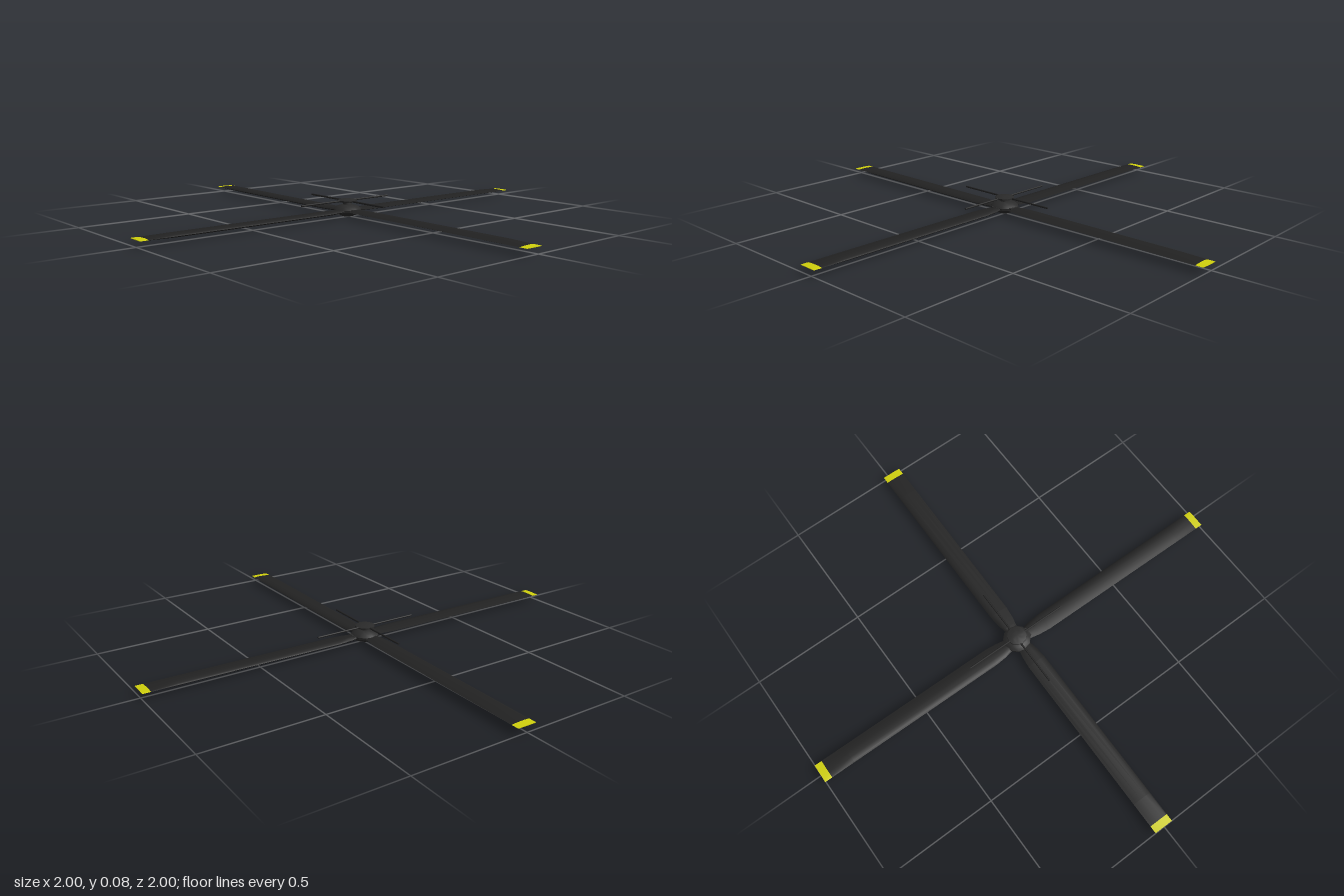
import * as THREE from 'three';
import { toCreasedNormals } from 'three/addons/utils/BufferGeometryUtils.js';

const black = new THREE.MeshStandardMaterial({ color: 0x222222 });
black.name = 'black blade';
const grey = new THREE.MeshStandardMaterial({ color: 0x2a2a2a });
grey.name = 'dark grey hub';
const yellow = new THREE.MeshStandardMaterial({ color: 0xd0d00c });
yellow.name = 'yellow tip';

// Aerofoil outline: chord position (-1 leading, 1 trailing), height (-1 to 1)
const foil = [[-1, 0], [-0.85, 0.6], [-0.4, 1], [0.2, 0.85], [0.7, 0.45],
  [1, 0.04], [0.7, -0.4], [0.2, -0.8], [-0.4, -1], [-0.85, -0.6]];

// Skin a run of stations [radius, half chord, half thickness]
function bladeGeometry(stations) {
  const n = foil.length, pos = [], idx = [];
  for (const [r, c, t] of stations)
    for (const [z, y] of foil) pos.push(r, y * t, z * c);
  for (let i = 0; i < stations.length - 1; i++)
    for (let j = 0; j < n; j++) {
      const a = i * n + j, b = i * n + (j + 1) % n;
      idx.push(a, b, a + n, b, b + n, a + n);
    }
  const e = (stations.length - 1) * n;
  for (let j = 1; j < n - 1; j++) idx.push(0, j + 1, j, e, e + j, e + j + 1);
  const g = new THREE.BufferGeometry();
  g.setAttribute('position', new THREE.Float32BufferAttribute(pos, 3));
  g.setIndex(idx);
  return toCreasedNormals(g, 0.6);
}

function addMesh(parent, name, geometry, material, x = 0, y = 0, z = 0) {
  const m = new THREE.Mesh(geometry, material);
  m.name = name;
  m.position.set(x, y, z);
  parent.add(m);
  return m;
}

function lathe(points, sides) {
  const g = new THREE.LatheGeometry(points.map(p => new THREE.Vector2(...p)), sides);
  return toCreasedNormals(g, 0.5);
}

export function createModel() {
  const model = new THREE.Group();
  model.name = 'rotor';
  const yaw = -0.0115;

  // Main blades: two straight pairs crossing at the hub
  const bladeGeo = bladeGeometry([[0.03, 0.022, 0.007], [0.05, 0.029, 0.008],
    [0.09, 0.037, 0.008], [0.14, 0.042, 0.008], [0.86, 0.042, 0.008], [0.967, 0.042, 0.003]]);
  const tipGeo = bladeGeometry([[0.967, 0.042, 0.003], [1, 0.042, 0.0012]]);
  const gripGeo = new THREE.BoxGeometry(0.05, 0.016, 0.04);
  for (let k = 0; k < 4; k++) {
    const blade = new THREE.Group();
    blade.name = 'blade' + (k + 1);
    blade.rotation.y = yaw + k * Math.PI / 2;
    if (k % 2) blade.position.set(0.004, 0.027, 0);
    else blade.position.set(0, 0.027, 0.01);
    addMesh(blade, 'bladeBody', bladeGeo, black);
    addMesh(blade, 'bladeTip', tipGeo, yellow);
    addMesh(blade, 'bladeGrip', gripGeo, grey, 0.032);
    model.add(blade);
  }

  // Hub, neck and upper disc
  const hub = new THREE.Group();
  hub.name = 'hub';
  hub.position.set(-0.004, 0, 0.007);
  addMesh(hub, 'hubBody', lathe([[0, 0], [0.025, 0.003], [0.048, 0.013], [0.06, 0.024],
    [0.06, 0.033], [0.046, 0.045], [0.022, 0.053], [0, 0.054]], 12), grey);
  addMesh(hub, 'neck', new THREE.CylinderGeometry(0.017, 0.02, 0.016, 12), grey, 0, 0.056);
  addMesh(hub, 'upperDisc', lathe([[0, 0.058], [0.022, 0.06], [0.042, 0.065],
    [0.042, 0.071], [0.022, 0.076], [0, 0.077]], 12), grey);
  model.add(hub);

  // Thin stabiliser rods through the upper disc
  const rodGeo = new THREE.CylinderGeometry(0.004, 0.004, 0.48, 8).rotateZ(Math.PI / 2);
  for (let k = 0; k < 2; k++) {
    const rod = addMesh(model, 'stabiliserRod', rodGeo, black, -0.01, 0.068, 0.009);
    rod.rotation.y = yaw + k * Math.PI / 2;
  }
  return model;
}
